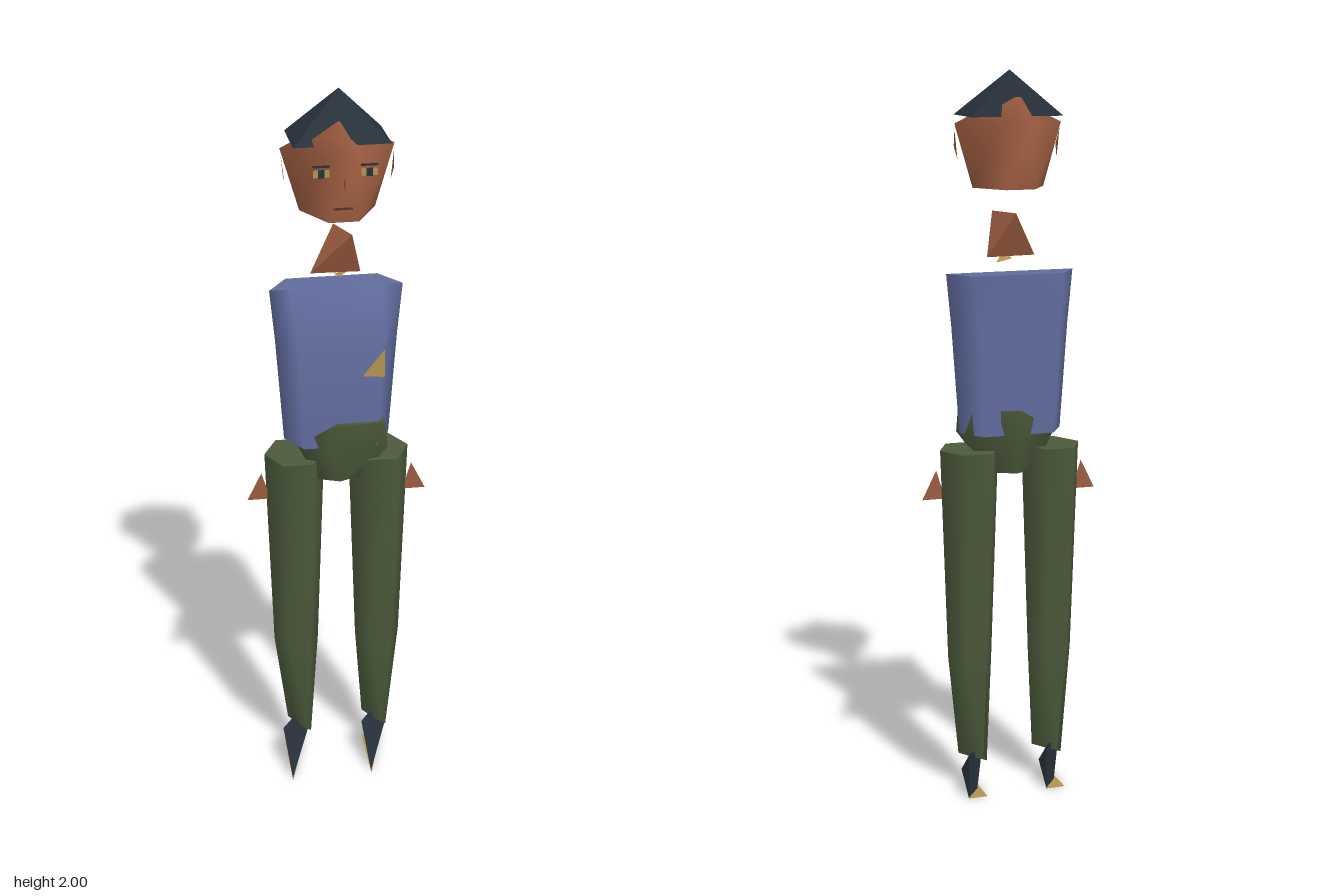
import * as THREE from 'three';
import { ConvexGeometry } from 'three/addons/geometries/ConvexGeometry.js';

const mat = (name, color) => new THREE.MeshStandardMaterial({ name, color, side: THREE.DoubleSide });

// Skin between rings listed bottom to top; points run counter-clockwise seen from above
function loft(rings) {
  const n = rings[0].length, pos = rings.flat(2), idx = [];
  for (let r = 0; r < rings.length - 1; r++)
    for (let i = 0; i < n; i++) {
      const a = r * n + i, b = r * n + (i + 1) % n;
      idx.push(a, b, b + n, a, b + n, a + n);
    }
  // separate cap vertices keep the end edges sharp
  for (const [ring, flip] of [[rings[0], true], [rings[rings.length - 1], false]]) {
    const base = pos.length / 3;
    pos.push(...ring.flat());
    for (let i = 1; i < n - 1; i++)
      idx.push(base, base + (flip ? i + 1 : i), base + (flip ? i : i + 1));
  }
  const g = new THREE.BufferGeometry();
  g.setAttribute('position', new THREE.Float32BufferAttribute(pos, 3));
  g.setIndex(idx);
  g.computeVertexNormals();
  return g;
}

// Six-sided ring with points to the sides: half width, inner half width, back, side and front depth
const hex = (cx, y, hw, iw, back, mid, front) => [
  [cx + hw, y, mid], [cx + iw, y, back], [cx - iw, y, back],
  [cx - hw, y, mid], [cx - iw, y, front], [cx + iw, y, front],
];

function plate(...points) {
  const g = new THREE.BufferGeometry();
  g.setAttribute('position', new THREE.Float32BufferAttribute(points.flat(), 3));
  g.computeVertexNormals();
  return g;
}

const solid = (points) => new ConvexGeometry(points.map((p) => new THREE.Vector3(...p)));

export function createModel() {
  const skin = mat('skin', 0x9c5c40);
  const shirt = mat('shirt blue', 0x606c9e);
  const trousers = mat('trouser green', 0x4c5a3b);
  const dark = mat('dark slate', 0x27313b);
  const gold = mat('gold', 0xb2924f);
  const lip = mat('lip brown', 0x5a3028);

  const model = new THREE.Group();
  const add = (name, geometry, material) => {
    const m = new THREE.Mesh(geometry, material);
    m.name = name;
    model.add(m);
    return m;
  };

  // Head: flared sides and a ridged top
  add('head', loft([
    hex(0, 1.69, 0.1, 0.04, -0.11, -0.01, 0.1),
    hex(0, 1.86, 0.15, 0.045, -0.11, -0.01, 0.1),
    hex(0, 1.93, 0.004, 0.002, -0.11, -0.01, 0.1),
  ]), skin);
  add('hair', solid([
    [-0.125, 1.88, 0.06], [0.13, 1.88, 0.06], [0.13, 1.88, -0.095],
    [-0.125, 1.88, -0.095], [0.01, 2, -0.05],
  ]), dark);

  // Face
  for (const s of [1, -1]) {
    add('ear', plate([s * 0.148, 1.845, -0.005], [s * 0.14, 1.765, -0.005], [s * 0.144, 1.8, 0.015]), skin);
    const eye = add('eye', new THREE.PlaneGeometry(0.042, 0.02), gold);
    eye.position.set(s * 0.062, 1.828, 0.119);
    const pupil = add('pupil', new THREE.PlaneGeometry(0.017, 0.022), dark);
    pupil.position.set(s * 0.062, 1.828, 0.121);
    const brow = add('eyebrow', new THREE.PlaneGeometry(0.045, 0.006), dark);
    brow.position.set(s * 0.062, 1.847, 0.119);
  }
  add('nose', plate([0, 1.815, 0.12], [0, 1.77, 0.12], [0, 1.793, 0.095]), skin);
  const mouth = add('mouth', new THREE.PlaneGeometry(0.05, 0.006), lip);
  mouth.position.set(-0.005, 1.732, 0.117);

  // Neck wedge and necklace
  add('neck', solid([
    [0, 1.625, -0.075], [0.035, 1.625, 0.02], [-0.07, 1.507, -0.025], [0.065, 1.505, -0.025],
  ]), skin);
  add('necklace', plate([0, 1.515, 0.03], [0.06, 1.497, -0.085], [-0.005, 1.5, -0.03]), gold);

  // Torso, sloped at the upper chest
  add('torso', loft([
    hex(0, 1.03, 0.145, 0.1, -0.1, -0.025, 0.055),
    hex(0, 1.32, 0.166, 0.115, -0.105, -0.025, 0.06),
    hex(0, 1.465, 0.18, 0.125, -0.105, -0.025, -0.023),
  ]), shirt);
  add('badge', plate([0.05, 1.255, 0.1], [0.11, 1.25, 0.1], [0.11, 1.33, 0.1]), gold);

  // Hips, with the waistband raised on the left side
  add('hips', loft([
    [[0.07, 0.92, -0.05], [0, 0.92, -0.085], [-0.06, 0.92, -0.05],
      [-0.06, 0.92, 0.02], [0, 0.92, 0.045], [0.06, 0.92, 0.02]],
    [[0.14, 1.02, -0.06], [0, 1.02, -0.115], [-0.11, 1.02, -0.06],
      [-0.11, 1.02, 0.03], [-0.03, 1.02, 0.068], [0.13, 1.02, 0.05]],
    [[0.12, 1.1, -0.07], [0, 1.1, -0.125], [-0.115, 1.03, -0.06],
      [-0.115, 1.03, 0.03], [-0.035, 1.1, 0.08], [0.12, 1.1, 0.06]],
  ]), trousers);

  for (const s of [1, -1]) {
    const cx = s * 0.117, ax = s * 0.11;
    // Leg tapers to a diagonal edge at the ankle
    const ankle = [0.25, -0.75, -1, -0.25, 0.75, 1]
      .map((t, i) => [ax + 0.025 * t + (i < 1 || i > 4 ? 0.003 : -0.003), 0.1, -0.023 + 0.042 * t]);
    add('leg', loft([
      ankle,
      hex(cx, 0.4, 0.063, 0.031, -0.083, -0.023, 0.037),
      hex(cx, 0.985, 0.083, 0.041, -0.108, -0.025, 0.06),
    ]), trousers);
    add('hand', plate([s * 0.25, 0.85, -0.02], [s * 0.21, 0.93, -0.02], [s * 0.185, 0.85, -0.02]), skin);

    // Both shoes share one shape
    const shoe = add('shoe', solid([
      [-0.035, 0.002, 0.11], [0.025, 0.002, -0.08], [-0.02, 0.002, -0.02],
      [-0.048, 0.115, 0.018], [0.02, 0.125, -0.07], [0.03, 0.07, -0.03],
    ]), dark);
    const sole = add('sole', plate([-0.035, 0, 0.12], [-0.03, 0, -0.08], [0.025, 0, -0.08]), gold);
    shoe.position.x = sole.position.x = s * 0.115;
  }
  return model;
}
